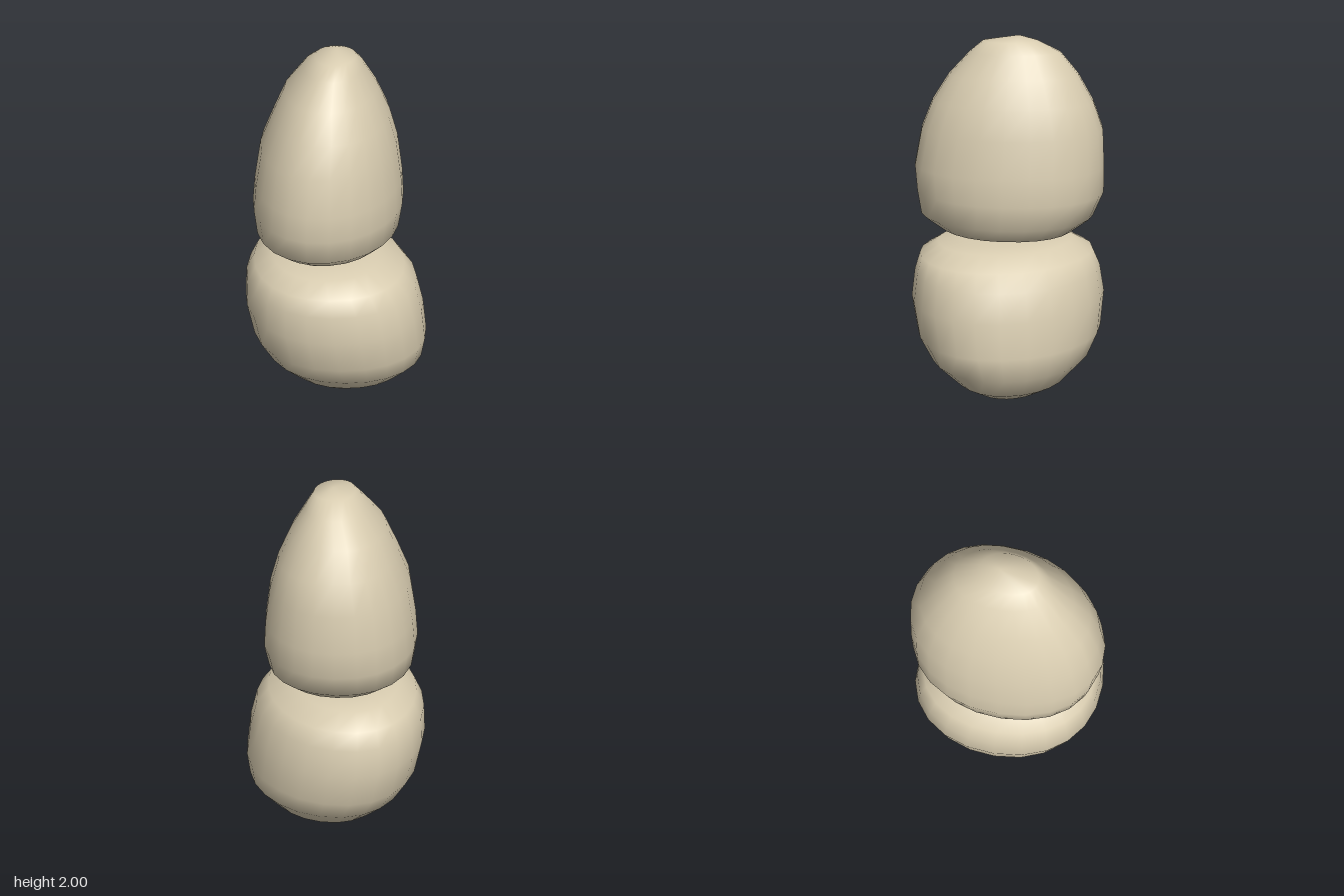
import * as THREE from 'three';

const SEGMENTS = 24;

// Closed smooth stone: oval rings [y, xMin, xMax, zMin, zMax] between two poles [x, y, z].
// skew slims one corner: back left when positive, front left when negative.
function stoneGeometry(bottom, rings, top, skew) {
  const pos = [...bottom];
  const index = [];
  const slimCorner = -Math.sign(skew) * Math.PI / 4;
  const bulge = (v) => Math.sign(v) * Math.abs(v) ** 0.95;
  for (const [y, x0, x1, z0, z1] of rings) {
    const cx = (x0 + x1) / 2, cz = (z0 + z1) / 2;
    for (let j = 0; j < SEGMENTS; j++) {
      const a = (j / SEGMENTS) * Math.PI * 2;
      const shift = skew * (1 + Math.cos(a - slimCorner)) / 2;
      const x = bulge(Math.cos(a)), z = bulge(Math.sin(a + shift));
      pos.push(cx + x * (x1 - x0) / 2, y, cz + z * (z1 - z0) / 2);
    }
  }
  pos.push(...top);
  const last = pos.length / 3 - 1;
  const at = (i, j) => 1 + i * SEGMENTS + (j % SEGMENTS);
  for (let j = 0; j < SEGMENTS; j++) {
    index.push(0, at(0, j), at(0, j + 1));
    for (let i = 0; i < rings.length - 1; i++) {
      index.push(at(i, j), at(i + 1, j), at(i, j + 1));
      index.push(at(i, j + 1), at(i + 1, j), at(i + 1, j + 1));
    }
    index.push(at(rings.length - 1, j), last, at(rings.length - 1, j + 1));
  }
  const geometry = new THREE.BufferGeometry();
  geometry.setAttribute('position', new THREE.Float32BufferAttribute(pos, 3));
  geometry.setIndex(index);
  geometry.computeVertexNormals();
  return geometry;
}

export function createModel() {
  const group = new THREE.Group();
  group.name = 'stackedStones';
  const stone = new THREE.MeshStandardMaterial({ color: 0xd8ccb0 });
  stone.name = 'sandstone';

  const add = (name, geometry) => {
    const mesh = new THREE.Mesh(geometry, stone);
    mesh.name = name;
    group.add(mesh);
  };

  // Rounded lower stone with a flat top
  add('lowerStone', stoneGeometry([0.02, 0, -0.04], [
    [0.03, -0.14, 0.22, -0.19, 0.19],
    [0.12, -0.28, 0.38, -0.325, 0.31],
    [0.25, -0.405, 0.49, -0.45, 0.44],
    [0.38, -0.475, 0.505, -0.515, 0.51],
    [0.57, -0.51, 0.48, -0.535, 0.54],
    [0.72, -0.50, 0.44, -0.51, 0.52],
    [0.81, -0.455, 0.37, -0.47, 0.49],
    [0.87, -0.36, 0.24, -0.36, 0.39],
    [0.89, -0.26, 0.15, -0.25, 0.25],
  ], [-0.05, 0.895, 0.02], 0.17));

  // Tall upper stone with a flat base, tapering to a rounded tip
  add('upperStone', stoneGeometry([-0.04, 0.935, 0.02], [
    [0.937, -0.28, 0.20, -0.25, 0.28],
    [0.95, -0.35, 0.27, -0.35, 0.37],
    [1.03, -0.435, 0.345, -0.46, 0.48],
    [1.16, -0.45, 0.365, -0.515, 0.50],
    [1.30, -0.435, 0.355, -0.515, 0.51],
    [1.50, -0.40, 0.325, -0.505, 0.47],
    [1.65, -0.335, 0.28, -0.45, 0.41],
    [1.79, -0.27, 0.215, -0.37, 0.32],
    [1.91, -0.17, 0.14, -0.27, 0.21],
    [1.97, -0.11, 0.10, -0.15, 0.14],
  ], [0, 2, -0.05], -0.14));

  return group;
}
